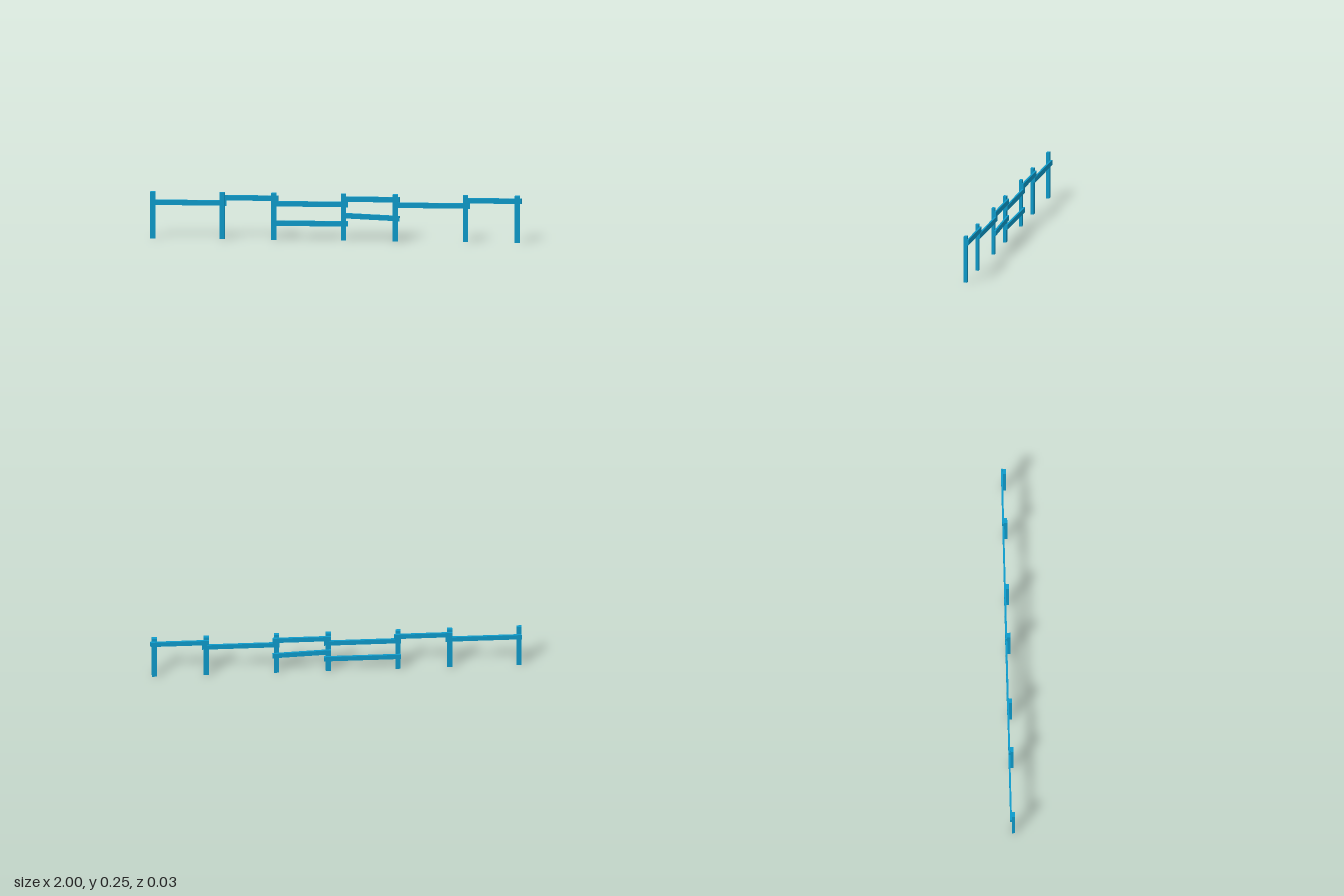
import * as THREE from 'three';

export function createModel() {
  const group = new THREE.Group();
  group.name = 'fence';
  const material = new THREE.MeshStandardMaterial({ color: 0x0e9bcb, flatShading: true });

  function beam(name, w, h, d, x, y, z, tilt = 0) {
    const mesh = new THREE.Mesh(new THREE.BoxGeometry(w, h, d), material);
    mesh.name = name;
    mesh.position.set(x, y, z);
    mesh.rotation.z = tilt;
    group.add(mesh);
  }

  // Upright posts, in alternating long and short spacing
  const postX = [-0.986, -0.613, -0.335, 0.04, 0.319, 0.697, 0.976];
  const postW = 0.028, postH = 0.255;
  postX.forEach((x, i) => beam(`post${i + 1}`, postW, postH, 0.017, x, postH / 2, 0.005));

  // A rail behind bay i, flush with one post and overhanging the next
  function rail(name, i, y, tilt) {
    const start = postX[i] - postW / 2;
    const end = Math.min(postX[i + 1] + 0.023, 1);
    beam(name, end - start, 0.0285, 0.01, (start + end) / 2, y, -0.0085, tilt);
  }

  // Top rails step between two heights
  for (let i = 0; i < 6; i++) rail(`topRail${i + 1}`, i, i % 2 ? 0.2235 : 0.194);

  // Lower rails in the middle bays, one of them sagging
  rail('lowerRail', 2, 0.0875);
  rail('tiltedLowerRail', 3, 0.127, -0.043);

  return group;
}
